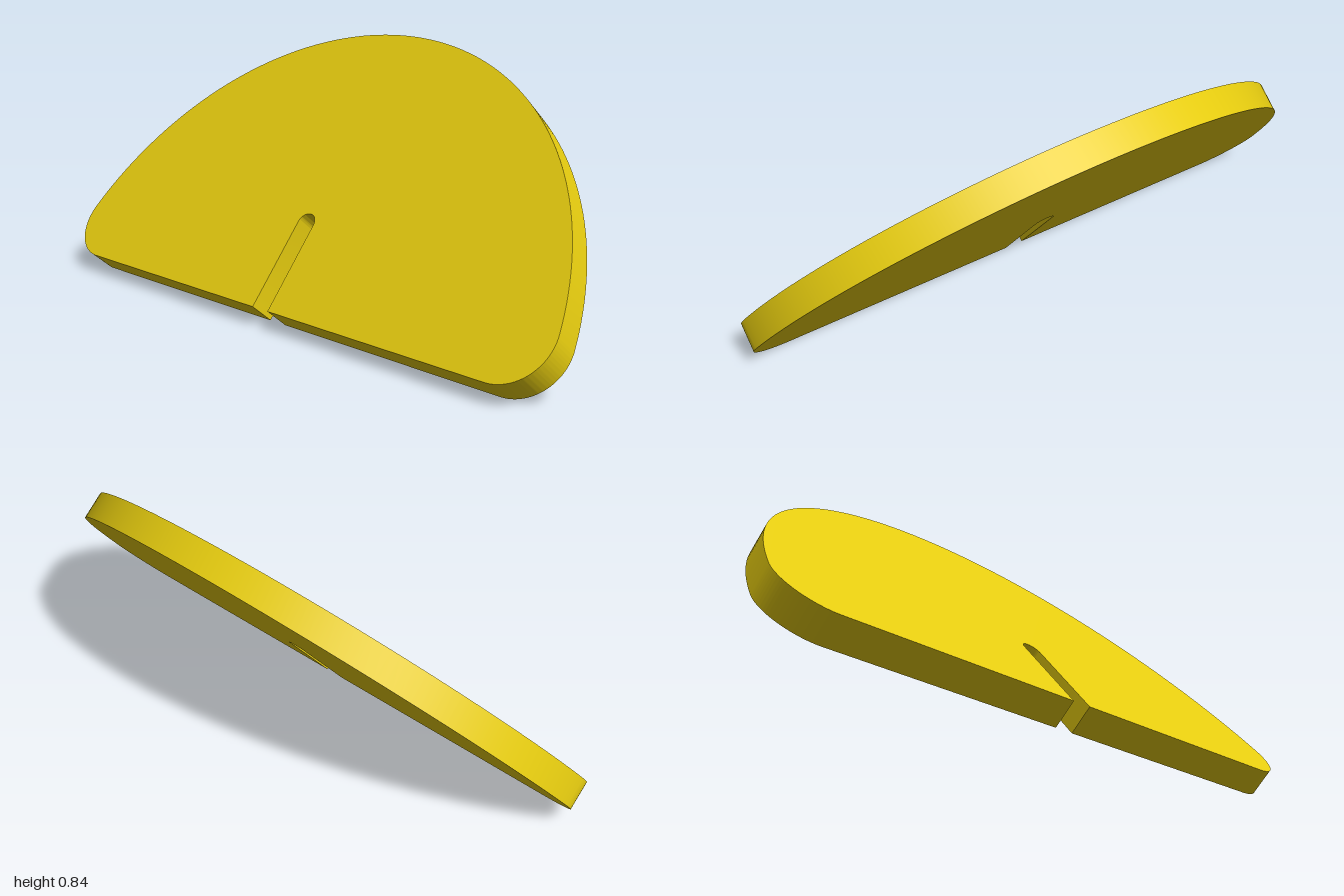
import * as THREE from 'three';
import { toCreasedNormals } from 'three/addons/utils/BufferGeometryUtils.js';

const RADIUS = 1.0125;     // big arc
const FILLET = 0.15;       // rounded lower corners
const THICKNESS = 0.095;
const SLOT_HALF = 0.033;
const SLOT_TOP = 0.335;
const TILT = THREE.MathUtils.degToRad(40);

// Half disc with rounded corners and a round-ended slot in its straight edge
function plateShape() {
  const cx = Math.sqrt((RADIUS - FILLET) ** 2 - FILLET ** 2);
  const a = Math.atan2(FILLET, cx); // where fillet meets big arc
  const s = new THREE.Shape();
  s.moveTo(SLOT_HALF, 0);
  s.lineTo(cx, 0);
  s.absarc(cx, FILLET, FILLET, -Math.PI / 2, a, false);
  s.absarc(0, 0, RADIUS, a, Math.PI - a, false);
  s.absarc(-cx, FILLET, FILLET, Math.PI - a, Math.PI * 1.5, false);
  s.lineTo(-SLOT_HALF, 0);
  s.lineTo(-SLOT_HALF, SLOT_TOP - SLOT_HALF);
  s.absarc(0, SLOT_TOP - SLOT_HALF, SLOT_HALF, Math.PI, 0, true);
  s.closePath();
  return s;
}

export function createModel() {
  const group = new THREE.Group();
  group.name = 'slottedHalfDisc';

  const geometry = toCreasedNormals(
    new THREE.ExtrudeGeometry(plateShape(), { depth: THICKNESS, bevelEnabled: false, curveSegments: 48 }),
    Math.PI / 6
  );
  const plate = new THREE.Mesh(geometry, new THREE.MeshStandardMaterial({ color: 0xe6cc0f }));
  plate.name = 'slottedPlate';

  // Lean the plate back, resting on its rear lower edge, centred in depth
  plate.rotation.x = -TILT;
  plate.position.z = (RADIUS * Math.sin(TILT) - THICKNESS * Math.cos(TILT)) / 2;
  group.add(plate);
  return group;
}
